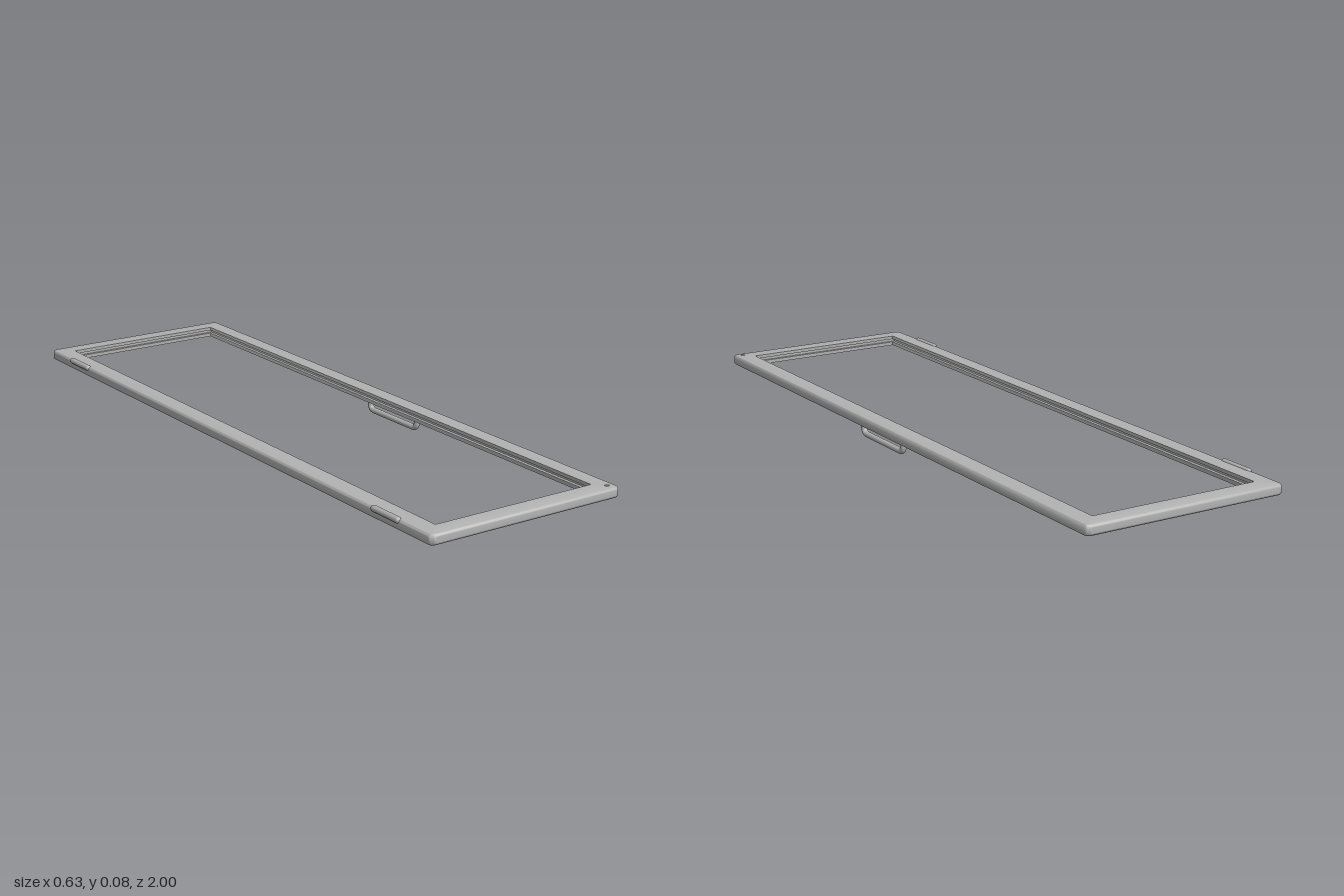
import * as THREE from 'three';
import { toCreasedNormals } from 'three/addons/utils/BufferGeometryUtils.js';

const CX = 0.002, HALF_X = 0.312, HALF_Z = 1, CORNER = 0.016, BOTTOM = 0.04, TOP = 0.071;

// Rounded rectangle loop, moved inward by `inset`
function frameLoop(inset, y) {
  const r = Math.max(CORNER - inset, 0.0004), steps = 6, points = [];
  for (let q = 0; q < 4; q++) {
    const sx = q === 0 || q === 3 ? 1 : -1, sz = q < 2 ? 1 : -1;
    for (let i = 0; i <= steps; i++) {
      const a = (q + i / steps) * Math.PI / 2;
      points.push([
        CX + sx * (HALF_X - inset - r) + r * Math.cos(a), y,
        sz * (HALF_Z - inset - r) + r * Math.sin(a)]);
    }
  }
  return points;
}

// Sweep a closed [inset, y] section around the frame
function sweepFrame(section) {
  const loops = section.map(([d, y]) => frameLoop(d, y));
  const positions = [], n = loops[0].length, m = loops.length;
  for (let i = 0; i < m; i++) {
    for (let j = 0; j < n; j++) {
      const a = loops[i][j], b = loops[i][(j + 1) % n];
      const c = loops[(i + 1) % m][j], d = loops[(i + 1) % m][(j + 1) % n];
      positions.push(...a, ...b, ...c, ...b, ...d, ...c);
    }
  }
  const geometry = new THREE.BufferGeometry();
  geometry.setAttribute('position', new THREE.Float32BufferAttribute(positions, 3));
  return toCreasedNormals(geometry, 0.7);
}

export function createModel() {
  const model = new THREE.Group();
  const metal = new THREE.MeshStandardMaterial({ color: 0xb2b2b2 });
  metal.name = 'grey metal';

  function add(name, geometry, x = 0, y = 0, z = 0, parent = model) {
    const mesh = new THREE.Mesh(geometry, metal);
    mesh.name = name;
    mesh.position.set(x, y, z);
    parent.add(mesh);
    return mesh;
  }

  // Frame section: rounded outer edges and a shallow groove on the inner face
  const section = [], r = 0.008;
  for (let i = 0; i <= 5; i++) {
    const a = i / 5 * Math.PI / 2;
    section.push([r - r * Math.sin(a), TOP - r + r * Math.cos(a)]);
  }
  for (let i = 0; i <= 5; i++) {
    const a = i / 5 * Math.PI / 2;
    section.push([r - r * Math.cos(a), BOTTOM + r - r * Math.sin(a)]);
  }
  section.push([0.055, BOTTOM], [0.055, 0.051], [0.045, 0.051],
    [0.045, 0.061], [0.055, 0.061], [0.055, TOP]);
  add('frame', sweepFrame(section));

  // Hinge barrels on the right edge
  for (const side of [-1, 1]) {
    const hinge = add(side > 0 ? 'frontHinge' : 'backHinge',
      new THREE.CapsuleGeometry(0.009, 0.1, 6, 16), -0.307, 0.067, side * 0.81);
    hinge.rotation.x = Math.PI / 2;
  }

  // Pull handle below the left rail
  const handle = new THREE.Group();
  handle.name = 'handle';
  model.add(handle);
  const x = 0.285, low = 0.009, z0 = -0.062, z1 = 0.167;
  const p = (y, z) => new THREE.Vector3(x, y, z);
  const path = new THREE.CurvePath();
  path.add(new THREE.LineCurve3(p(0.045, z0), p(0.028, z0)));
  path.add(new THREE.QuadraticBezierCurve3(p(0.028, z0), p(low, z0), p(low, z0 + 0.02)));
  path.add(new THREE.LineCurve3(p(low, z0 + 0.02), p(low, z1 - 0.02)));
  path.add(new THREE.QuadraticBezierCurve3(p(low, z1 - 0.02), p(low, z1), p(0.028, z1)));
  path.add(new THREE.LineCurve3(p(0.028, z1), p(0.045, z1)));
  add('handleBar', new THREE.TubeGeometry(path, 80, 0.009, 16), 0, 0, 0, handle);
  for (const z of [z0, z1]) {
    add('handleCollar', new THREE.CylinderGeometry(0.014, 0.012, 0.006, 24), x, 0.038, z, handle);
  }

  // Small domed catch beside the handle
  const dome = [[0, 0.033], [0.006, 0.034], [0.01, 0.036], [0.014, 0.038], [0.016, 0.042]]
    .map(([px, py]) => new THREE.Vector2(px, py));
  add('catch', new THREE.LatheGeometry(dome, 24), x, 0, -0.138);

  // Tiny screw head at the front left corner
  add('screw', new THREE.CylinderGeometry(0.006, 0.007, 0.002, 16), 0.288, 0.0715, 0.975);

  return model;
}
